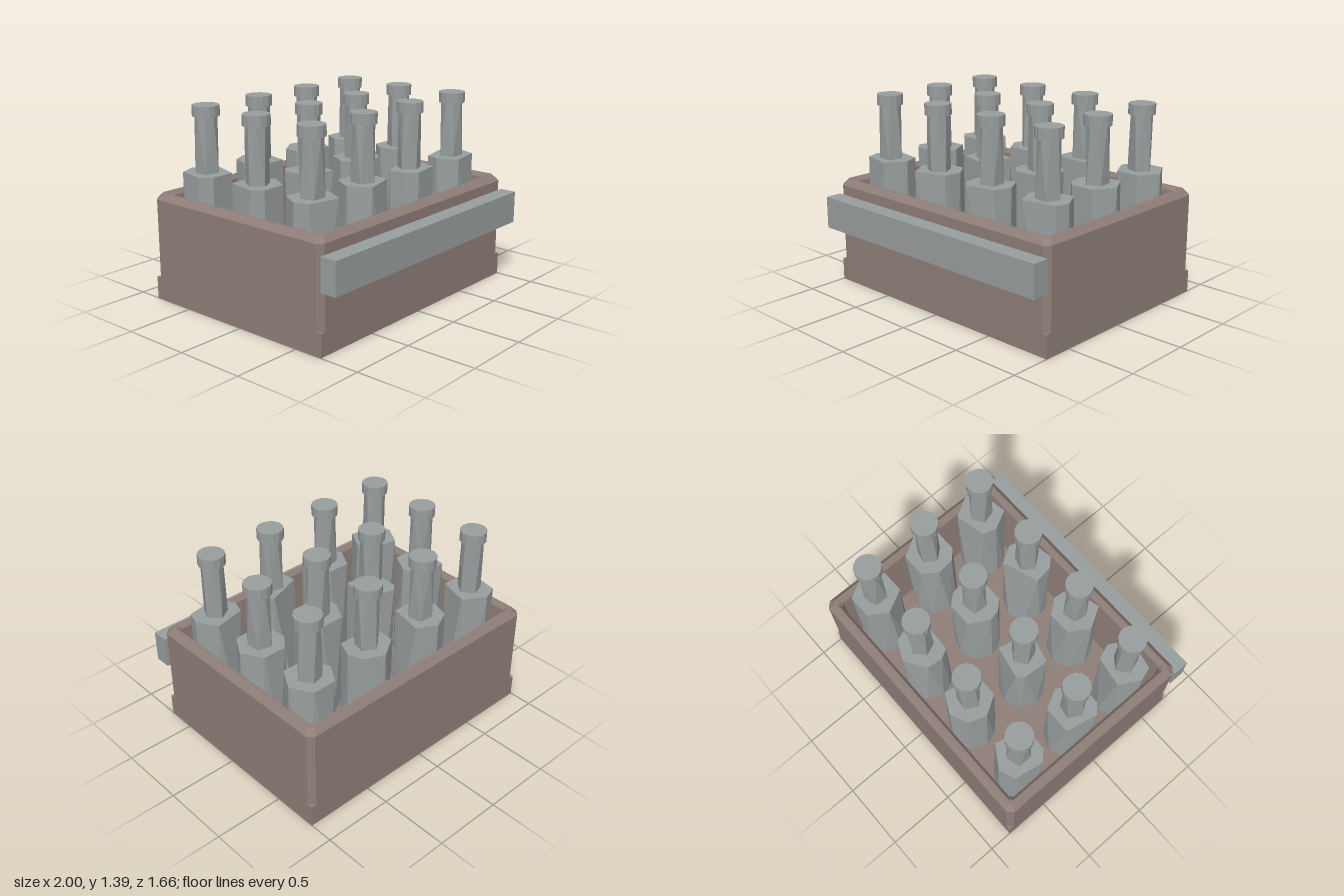
import * as THREE from 'three';
import { ConvexGeometry } from 'three/addons/geometries/ConvexGeometry.js';

const wood = new THREE.MeshStandardMaterial({ color: 0x8f7e78, flatShading: true });
wood.name = 'brown crate';
const glass = new THREE.MeshStandardMaterial({ color: 0x989d9e, flatShading: true });
glass.name = 'grey glass';

const CRATE_Z = -0.06;

function addMesh(parent, geometry, material, name, x = 0, y = 0, z = 0) {
  const mesh = new THREE.Mesh(geometry, material);
  mesh.name = name;
  mesh.position.set(x, y, z);
  parent.add(mesh);
  return mesh;
}

// Rectangle with cut corners: inset from the crate outline, height, corner cut
function crateRing([inset, y, cut]) {
  const w = 1 - inset, d = 0.77 - inset;
  return [
    [w, -d + cut], [w, d - cut], [w - cut, d], [-w + cut, d],
    [-w, d - cut], [-w, -d + cut], [-w + cut, -d], [w - cut, -d],
  ].map(([x, z]) => [x, y, z]);
}

// Join successive rings with quads
function loft(rings) {
  const pos = [];
  for (let i = 0; i < rings.length - 1; i++) {
    const low = rings[i], high = rings[i + 1], n = low.length;
    for (let j = 0; j < n; j++) {
      const k = (j + 1) % n;
      pos.push(...low[j], ...high[j], ...low[k], ...low[k], ...high[j], ...high[k]);
    }
  }
  const geometry = new THREE.BufferGeometry();
  geometry.setAttribute('position', new THREE.Float32BufferAttribute(pos, 3));
  geometry.computeVertexNormals();
  return geometry;
}

// Points on a circle at the given angles, turning from +x towards +z
const circle = (angles, r, y) => angles.map((a) => {
  const t = THREE.MathUtils.degToRad(a);
  return new THREE.Vector3(r * Math.cos(t), y, r * Math.sin(t));
});

const OCTAGON = [0, 45, 90, 135, 180, 225, 270, 315];
const BASE = [0, 30, 60, 120, 150, 180, 225, 270, 312];

// Shoulder corners of each bottle, row by row from the back
const SHOULDERS = [
  [[60, 120, 152, 228, 270, 335], [60, 122, 176, 222, 270, 325], [0, 45, 140, 165, 205, 268, 322], [0, 60, 120, 185, 240, 300]],
  [[0, 60, 120, 150, 235, 305], [60, 150, 217, 238, 325], [0, 30, 58, 122, 152, 180, 238, 302, 335], [0, 60, 120, 150, 195, 240, 300]],
  [[0, 60, 145, 180, 240, 320], [30, 120, 180, 240, 300, 345], [40, 120, 150, 195, 305, 355], [0, 35, 125, 180, 215, 300]],
];

// Faceted bottle: body, twisted neck and cap
function makeBottle(shoulder, index) {
  const bottle = new THREE.Group();
  bottle.name = 'bottle';
  const body = [...circle(BASE, 0.17, 0.173), ...circle(shoulder, 0.17, 0.92)];
  addMesh(bottle, new ConvexGeometry(body), glass, 'bottleBody');
  const foot = [0, 72, 144, 216, 288].map((a) => a + index * 25);
  const neck = [...circle(foot, 0.085, 0.915), ...circle(OCTAGON, 0.077, 1.315)];
  addMesh(bottle, new ConvexGeometry(neck), glass, 'bottleNeck');
  addMesh(bottle, new THREE.CylinderGeometry(0.094, 0.094, 0.075, 14), glass, 'bottleCap', 0, 1.348, 0);
  return bottle;
}

export function createModel() {
  const model = new THREE.Group();
  model.name = 'bottleCrate';

  // Crate walls: underside recess, foot, cut corners, bevelled rim, inner walls
  const walls = [
    [0.1, 0.17, 0.001], [0.085, 0.03, 0.001], [0.05, 0, 0.001], [0, 0, 0.001], [0, 0.16, 0.001],
    [0, 0.16, 0.04], [0, 0.73, 0.04], [0.035, 0.77, 0.03],
    [0.06, 0.77, 0.025], [0.08, 0.745, 0.02], [0.11, 0.17, 0.001],
  ].map(crateRing);
  addMesh(model, loft(walls), wood, 'crateWalls', 0, 0, CRATE_Z);
  addMesh(model, new THREE.BoxGeometry(1.8, 0.01, 1.34), wood, 'crateFloor', 0, 0.17, CRATE_Z);

  // Front board
  addMesh(model, new THREE.BoxGeometry(2, 0.23, 0.12), glass, 'frontBoard', 0, 0.543, 0.77);

  // Three rows of four bottles
  SHOULDERS.forEach((row, r) => row.forEach((shoulder, c) => {
    const bottle = makeBottle(shoulder, r * 4 + c);
    bottle.position.set(-0.75 + c * 0.5, 0, CRATE_Z + (r - 1) * 0.48);
    model.add(bottle);
  }));

  return model;
}
